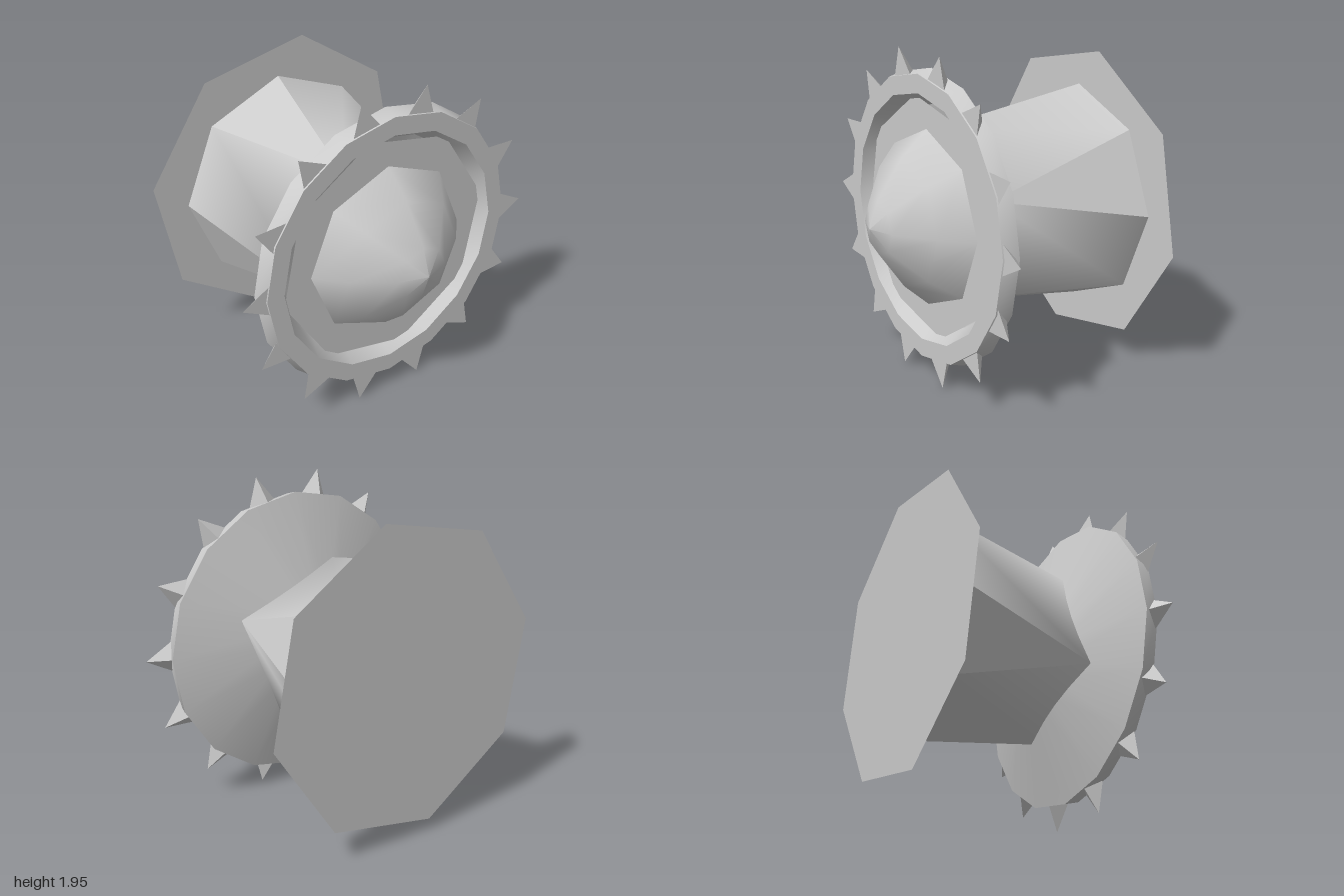
import * as THREE from 'three';
import { toCreasedNormals } from 'three/addons/utils/BufferGeometryUtils.js';

const DEG = Math.PI / 180;
const material = new THREE.MeshStandardMaterial({ color: 0xcccccc, side: THREE.DoubleSide });

// Point on a circle around the x axis; the angle runs from +z towards +y
const around = (x, r, deg) => [x, r * Math.sin(deg * DEG), r * Math.cos(deg * DEG)];

function addMesh(parent, name, geometry) {
  const mesh = new THREE.Mesh(geometry, material);
  mesh.name = name;
  parent.add(mesh);
  return mesh;
}

// Lathe around the x axis from [x, radius] pairs
function latheX(profile, sides) {
  const points = profile.map(([x, r]) => new THREE.Vector2(r, x));
  return new THREE.LatheGeometry(points, sides).rotateZ(-Math.PI / 2);
}

// Flat polygon facing +x
function polygonX(x, r, sides, deg) {
  return new THREE.CircleGeometry(r, sides, -deg * DEG).rotateY(Math.PI / 2).translate(x, 0, 0);
}

// Taper from an octagon at x0 to a square at x1; faceted at the octagon,
// blending to smooth at the square's corners
function taperGeometry(x0, r0, x1, r1) {
  const positions = [], normals = [];
  const corner = (p, deg) => {
    positions.push(...p);
    normals.push(...new THREE.Vector3(...around(0.2, 1, deg)).normalize().toArray());
  };
  for (let c = -22.5; c < 300; c += 90) {
    const a = c + 22.5, b = c + 67.5, mid = c + 45;
    // triangle running up to a corner of the square
    corner(around(x0, r0, c - 22.5), c);
    corner(around(x1, r1, c), c);
    corner(around(x0, r0, a), c);
    // flat side between two corners of the square
    corner(around(x0, r0, a), mid);
    corner(around(x1, r1, c), c);
    corner(around(x0, r0, b), mid);
    corner(around(x0, r0, b), mid);
    corner(around(x1, r1, c), c);
    corner(around(x1, r1, c + 90), c + 90);
  }
  const g = new THREE.BufferGeometry();
  g.setAttribute('position', new THREE.Float32BufferAttribute(positions, 3));
  g.setAttribute('normal', new THREE.Float32BufferAttribute(normals, 3));
  return g;
}

// Three-sided tooth pointing along +z, almost flush with the front of the rim
function toothGeometry() {
  const tip = [0.402, 0, 1], low = [0.402, -0.1, 0.815];
  const high = [0.402, 0.1, 0.815], back = [0.315, 0, 0.825];
  const g = new THREE.BufferGeometry();
  g.setAttribute('position', new THREE.Float32BufferAttribute([
    tip, high, low, tip, low, back, tip, back, high, low, high, back,
  ].flat(), 3));
  g.computeVertexNormals();
  return g;
}

export function createModel() {
  const model = new THREE.Group();
  model.name = 'toothedWheelWithDome';
  model.position.set(0, 0.975, -0.005);

  // Thin end plate and tapered body
  addMesh(model, 'endPlate', polygonX(-0.73, 0.92, 8, 11.5));
  addMesh(model, 'taperedBody', taperGeometry(-0.73, 0.68, 0.22, 0.505));

  // Wheel: sloped back, rim, front ring and recess wall
  const wheel = latheX([
    [0.15, 0.3], [0.32, 0.875], [0.41, 0.85], [0.41, 0.74], [0.27, 0.665],
  ], 16);
  addMesh(model, 'wheel', toCreasedNormals(wheel, 0.5));

  // Plate in the recess, with the dome on it
  addMesh(model, 'recessPlate', polygonX(0.355, 0.72, 8, 34.6));
  addMesh(model, 'dome', latheX([[0.358, 0.53], [0.52, 0.385], [0.68, 0.16], [0.735, 0]], 8));

  // Teeth around the rim
  const teeth = new THREE.Group();
  teeth.name = 'teeth';
  model.add(teeth);
  const tooth = toothGeometry();
  for (let i = 0; i < 14; i++) {
    addMesh(teeth, 'tooth', tooth).rotation.x = (i / 14) * Math.PI * 2;
  }

  const root = new THREE.Group();
  root.add(model);
  return root;
}
